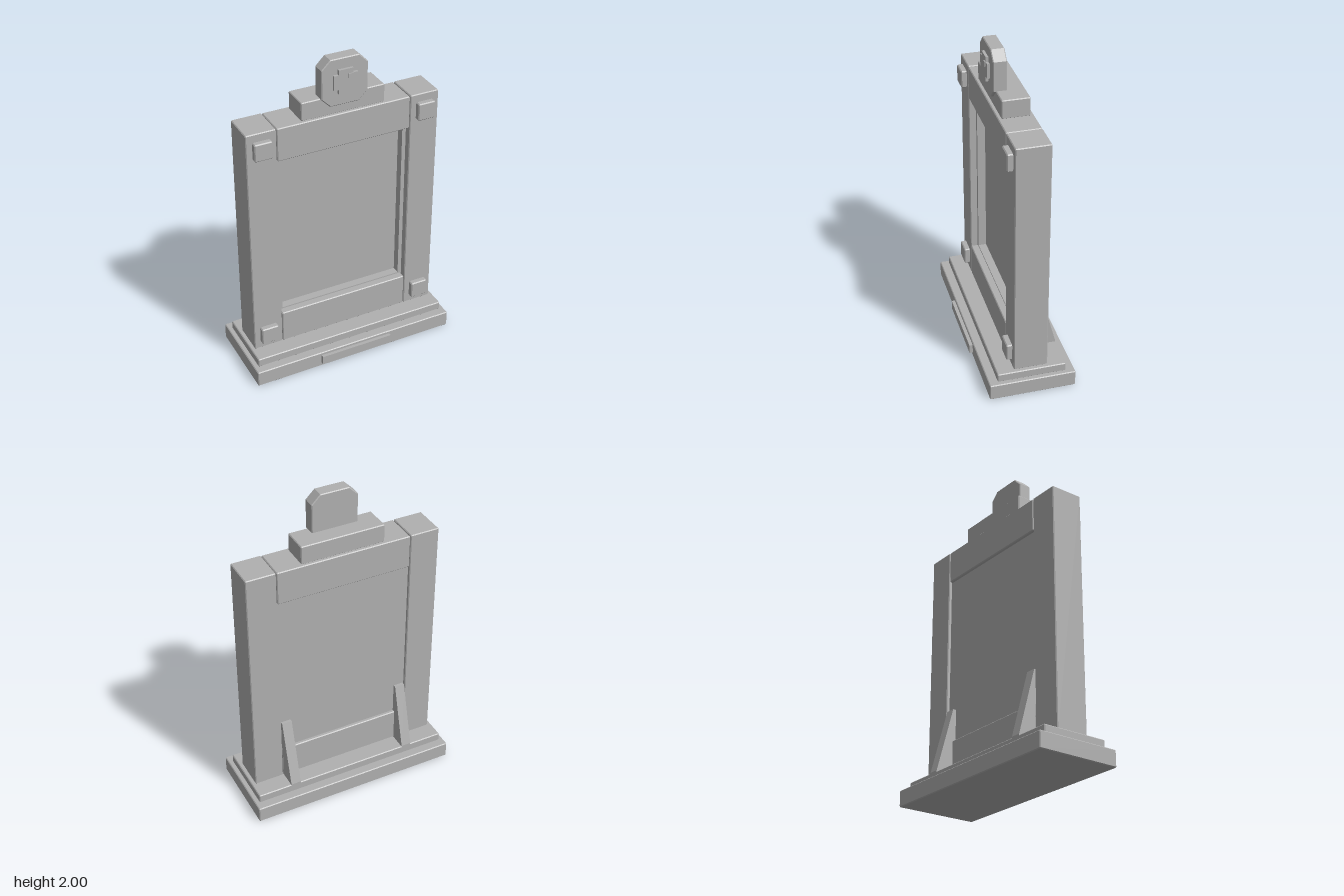
import * as THREE from 'three';

const stone = new THREE.MeshStandardMaterial({ color: 0xb0b0b0 });
stone.name = 'grey';

// Prism with cut corners and bevelled front and back edges, given by its limits
function block(name, x0, x1, y0, y1, z0, z1, bevel = 0.005, cut = bevel) {
  const outline = [
    [x0 + cut, y0], [x1 - cut, y0], [x1, y0 + cut], [x1, y1 - cut],
    [x1 - cut, y1], [x0 + cut, y1], [x0, y1 - cut], [x0, y0 + cut],
  ].map(([x, y]) => new THREE.Vector2(x, y));
  const geometry = new THREE.ExtrudeGeometry(new THREE.Shape(outline), {
    depth: z1 - z0 - 2 * bevel, bevelEnabled: true, bevelSegments: 1,
    bevelSize: bevel, bevelThickness: bevel, bevelOffset: -bevel,
  });
  geometry.translate(0, 0, z0 + bevel);
  const mesh = new THREE.Mesh(geometry, stone);
  mesh.name = name;
  return mesh;
}

// Square-edged box given by its limits
function box(name, x0, x1, y0, y1, z0, z1) {
  const mesh = new THREE.Mesh(new THREE.BoxGeometry(x1 - x0, y1 - y0, z1 - z0), stone);
  mesh.position.set((x0 + x1) / 2, (y0 + y1) / 2, (z0 + z1) / 2);
  mesh.name = name;
  return mesh;
}

// Sloping rear support
function brace(name, x0, x1) {
  const profile = new THREE.Shape([
    [0.08, 0.15], [0.221, 0.15], [0.221, 0.16], [0.112, 0.565], [0.08, 0.565],
  ].map(([x, y]) => new THREE.Vector2(x, y)));
  const geometry = new THREE.ExtrudeGeometry(profile, { depth: x1 - x0, bevelEnabled: false });
  geometry.rotateY(Math.PI / 2); // profile x becomes -z, depth becomes x
  geometry.translate(x0, 0, 0);
  const mesh = new THREE.Mesh(geometry, stone);
  mesh.name = name;
  return mesh;
}

export function createModel() {
  const model = new THREE.Group();
  model.name = 'standingBoard';

  // Stepped base with a front plate
  model.add(
    block('base', -0.663, 0.663, 0, 0.102, -0.275, 0.254),
    block('baseStep', -0.635, 0.635, 0.1, 0.155, -0.221, 0.2),
    box('basePlate', -0.237, 0.237, 0.025, 0.083, 0.25, 0.275),
  );

  // Rails and recessed panel
  model.add(
    block('topRail', -0.422, 0.422, 1.445, 1.655, -0.112, 0.095),
    block('bottomRail', -0.422, 0.422, 0.153, 0.365, -0.112, 0.095),
    box('panel', -0.43, 0.43, 0.355, 1.455, -0.092, 0),
    box('topTrim', -0.43, 0.43, 1.433, 1.45, 0, 0.05),
    box('bottomTrim', -0.43, 0.43, 0.36, 0.373, 0, 0.05),
  );

  // Pillars with studs, side trims and rear braces
  for (const [side, s] of [['left', 1], ['right', -1]]) {
    const span = (a, b) => (s > 0 ? [a, b] : [-b, -a]);
    model.add(
      block(side + 'Pillar', ...span(0.426, 0.611), 0.153, 1.657, -0.112, 0.095),
      box(side + 'Trim', ...span(0.402, 0.43), 0.373, 1.433, 0, 0.05),
      block(side + 'UpperStud', ...span(0.463, 0.573), 1.497, 1.607, 0.09, 0.13, 0.006),
      block(side + 'LowerStud', ...span(0.463, 0.573), 0.202, 0.31, 0.09, 0.13, 0.006),
      brace(side + 'Brace', ...span(0.357, 0.42)),
    );
  }

  // Crown block and eight-sided medallion
  model.add(
    block('crown', -0.263, 0.263, 1.652, 1.767, -0.092, 0.075),
    block('medallion', -0.145, 0.145, 1.71, 2, 0.011, 0.092, 0.005, 0.055),
  );

  // Raised cross with a small raised square
  const a = 0.075, b = 0.045;
  const cross = new THREE.Shape([
    [-b, -a], [b, -a], [b, -b], [a, -b], [a, b], [b, b],
    [b, a], [-b, a], [-b, b], [-a, b], [-a, -b], [-b, -b],
  ].map(([x, y]) => new THREE.Vector2(x, y)));
  const emblem = new THREE.Mesh(
    new THREE.ExtrudeGeometry(cross, { depth: 0.02, bevelEnabled: false }), stone);
  emblem.position.set(0, 1.86, 0.088);
  emblem.name = 'cross';
  model.add(emblem, box('crossSquare', 0.015, 0.045, 1.877, 1.905, 0.1, 0.114));

  return model;
}
